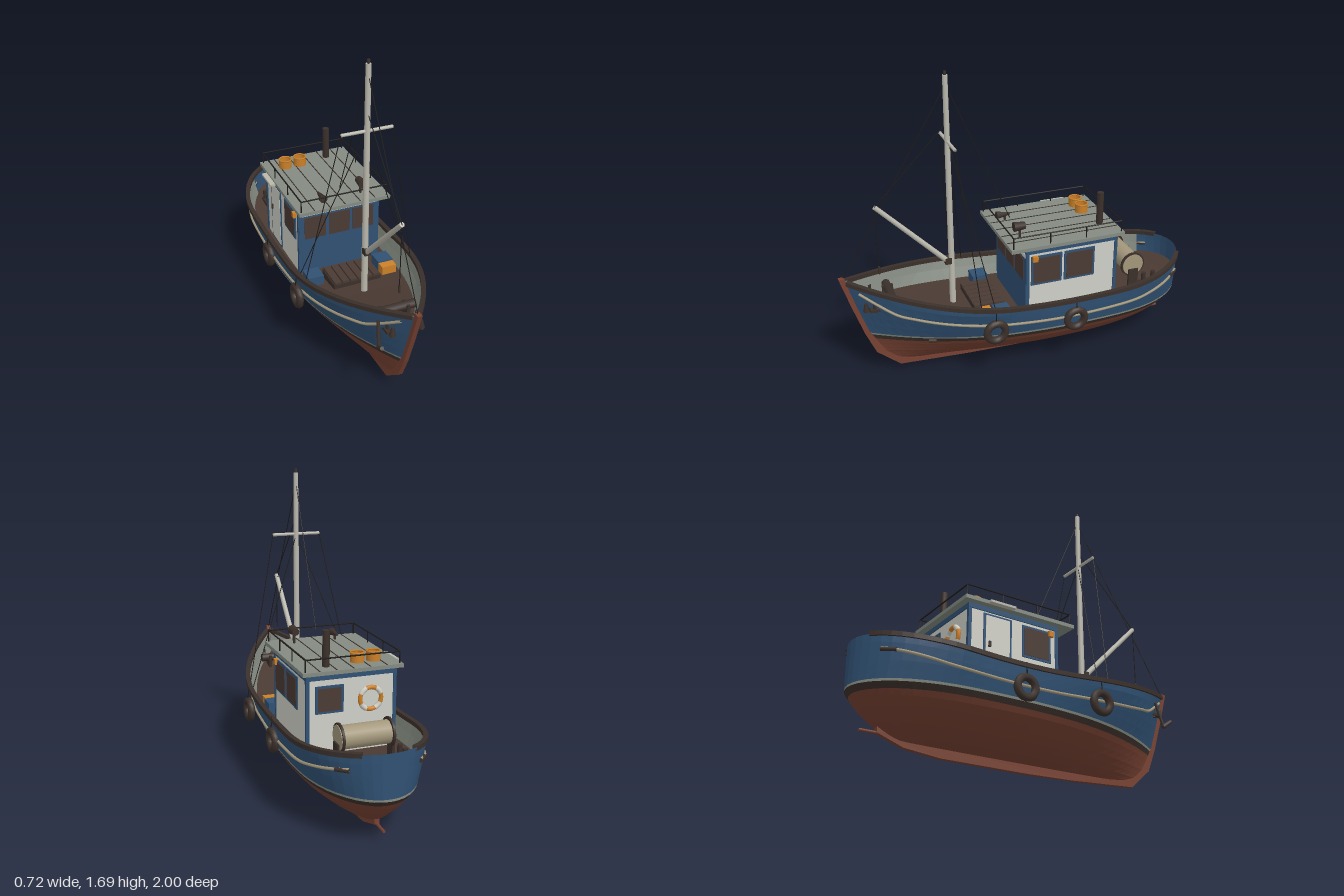
import * as THREE from 'three';

const mat = (name, color) => new THREE.MeshStandardMaterial({ name, color, side: THREE.DoubleSide });
const V = (x, y, z) => new THREE.Vector3(x, y, z);
const lerp = THREE.MathUtils.lerp;

// Piecewise linear lookup in [x, y] pairs
const table = (pts, x) => {
  if (x <= pts[0][0]) return pts[0][1];
  for (let i = 1; i < pts.length; i++) {
    const [a, p] = pts[i - 1], [b, q] = pts[i];
    if (x <= b) return lerp(p, q, (x - a) / (b - a));
  }
  return pts[pts.length - 1][1];
};

// Hull rules: s runs stern (0) to bow (1), y is height
const DECK_DROP = .12;
const bowZ = y => table([[.04, .68], [.08, .76], [.14, .81], [.28, .875], [.45, .933], [.62, .985]], y);
const sternZ = y => table([[.04, -.72], [.1, -.85], [.18, -.94], [.26, -1]], y);
const width = y => table([[.045, 0], [.05, .04], [.07, .11], [.1, .165], [.15, .225], [.2, .27], [.26, .305], [.35, .325], [.44, .335]], y);
const plan = (s, stern, bow, power) => s < stern ? Math.sqrt(Math.max(0, 1 - ((stern - s) / stern) ** 2))
  : s > bow ? 1 - ((s - bow) / (1 - bow)) ** power : 1;
const sheer = s => { const d = 2 * s - .8; return .435 + (d > 0 ? .122 : .1) * d * d; };
const strakeDrop = s => table([[.04, .072], [.2, .098], [.6, .106], [.8, .118], [.9, .118], [.97, .045]], s);
function hullPoint(s, y) {
  const flare = THREE.MathUtils.clamp((y - .05) / .4, 0, 1);
  const f = lerp(plan(s, .38, .45, 1.5), plan(s, .25, .58, 2.1), flare);
  return V(width(y) * f, y, lerp(sternZ(y), bowZ(y), s));
}
// Hull point pushed outward in plan by `off`
function offsetPoint(s, y, off) {
  const t = hullPoint(Math.min(1, s + .004), y).sub(hullPoint(Math.max(0, s - .004), y));
  const n = V(t.z, 0, -t.x).normalize();
  const p = hullPoint(s, y).addScaledVector(n, off);
  p.x = Math.max(0, p.x);
  return p;
}

// Faceted surface from a grid of points
function gridGeometry(nu, nv, fn) {
  const pos = [];
  for (let i = 0; i < nu; i++) for (let j = 0; j < nv; j++) {
    const a = fn(i / nu, j / nv), b = fn((i + 1) / nu, j / nv);
    const c = fn((i + 1) / nu, (j + 1) / nv), d = fn(i / nu, (j + 1) / nv);
    for (const p of [a, b, c, a, c, d]) pos.push(p.x, p.y, p.z);
  }
  const g = new THREE.BufferGeometry();
  g.setAttribute('position', new THREE.Float32BufferAttribute(pos, 3));
  g.computeVertexNormals();
  return g;
}

export function createModel() {
  const M = {
    blue: mat('hull blue', 0x305173), red: mat('antifouling red', 0x764132), wood: mat('dark wood', 0x4a3a33),
    iron: mat('dark iron', 0x3b302b), white: mat('cabin white', 0xd0d0c8), grey: mat('roof grey', 0x848b81),
    mast: mat('mast grey', 0xbab8ac), tan: mat('rope tan', 0xa3977b), orange: mat('safety orange', 0xca8029),
    black: mat('rigging black', 0x1e1b19),
  };
  const model = new THREE.Group();
  model.name = 'fishingBoat';
  const add = (name, geo, m, parent = model) => {
    const mesh = new THREE.Mesh(geo, m);
    mesh.name = name;
    parent.add(mesh);
    return mesh;
  };
  const box = (name, m, w, h, d, x, y, z, parent) => {
    const b = add(name, new THREE.BoxGeometry(w, h, d), m, parent);
    b.position.set(x, y, z);
    return b;
  };
  const rod = (name, m, a, b, r, r2 = r, sides = 10, open = false) => {
    const dir = b.clone().sub(a);
    const c = add(name, new THREE.CylinderGeometry(r2, r, dir.length(), sides, 1, open), m);
    c.position.copy(a).add(b).multiplyScalar(.5);
    c.quaternion.setFromUnitVectors(V(0, 1, 0), dir.normalize());
    return c;
  };
  const group = name => { const g = new THREE.Group(); g.name = name; model.add(g); return g; };

  // Hull skin in painted bands, bulwark lining, cap rail and strake
  const N = 32, ease = u => (1 - Math.cos(Math.PI * u)) / 2;
  const redRows = [.045, .05, .065, .085, .11, .14, .17, .205, .232];
  for (const side of [-1, 1]) {
    const flip = p => { p.x *= side; return p; };
    const skin = (name, m, nv, yAt) => add(name, gridGeometry(N, nv, (u, v) => flip(hullPoint(ease(u), yAt(ease(u), v)))), m);
    skin('lowerHull', M.red, 8, (s, v) => redRows[Math.round(v * 8)]);
    skin('bootTop', M.iron, 1, (s, v) => lerp(.232, .26, v));
    skin('waterline', M.grey, 1, (s, v) => lerp(.26, .272, v));
    skin('topsides', M.blue, 5, (s, v) => lerp(.272, sheer(s), v));
    add('bulwarkLining', gridGeometry(N, 2, (u, v) => {
      const s = lerp(.06, 1, ease(u));
      return flip(offsetPoint(s, sheer(s) - DECK_DROP * v, -.01 - .014 * v));
    }), M.grey);
    const corners = [[.011, -.012], [.011, .011], [-.014, .011], [-.014, -.012]];
    add('capRail', gridGeometry(N, 4, (u, v) => {
      const s = lerp(.02, .99, ease(u)), [o, h] = corners[Math.round(v * 4) % 4];
      const p = offsetPoint(s, sheer(s), o);
      p.y += h;
      return flip(p);
    }), M.iron);
    const line = [];
    for (let i = 0; i <= 24; i++) {
      const s = lerp(.04, .97, i / 24);
      line.push(flip(offsetPoint(s, sheer(s) - strakeDrop(s), .004)));
    }
    add('strake', new THREE.TubeGeometry(new THREE.CatmullRomCurve3(line), 60, .008, 6), M.tan);
    rod('strakeEnd', M.iron, flip(offsetPoint(.04, .408, .006)), flip(offsetPoint(.07, .402, .006)), .01);
    // Tyre fenders with hanging ropes
    for (const [z, y] of [[.24, .335], [-.225, .32]]) {
      const tyre = add('tyreFender', new THREE.TorusGeometry(.052, .021, 8, 20), M.iron);
      tyre.rotation.y = Math.PI / 2;
      tyre.position.set(side * .338, y, z);
      rod('fenderRope', M.black, V(side * .345, y + .05, z), V(side * .34, .45, z), .003, .003, 5);
    }
    // Bow and stern deck fittings
    box('bowBitt', M.iron, .04, .015, .06, side * .08, .455, .83);
    rod('bowBollard', M.iron, V(side * .08, .44, .83), V(side * .08, .52, .83), .012);
    rod('fairlead', M.iron, V(side * .08, .45, .878), V(side * .078, .5, .878), .018, .008, 6);
    box('sternBitt', M.iron, .035, .02, .1, side * .165, .355, -.76);
    for (const z of [-.79, -.73]) rod('sternBollard', M.iron, V(side * .165, .34, z), V(side * .165, .42, z), .013);
  }
  add('deck', gridGeometry(N, 2, (u, v) => {
    const s = ease(u), p = offsetPoint(s, sheer(s) - DECK_DROP, -.012);
    p.x *= 2 * v - 1;
    return p;
  }), M.wood);
  rod('seaInlet', M.iron, offsetPoint(.82, .245, .004), offsetPoint(.84, .245, .004), .012);

  // Stem and keel in one cut profile
  const profile = [[1, .63], [.945, .45], [.885, .27], [.83, .14], [.7, .03], [.3, .008], [0, 0], [-.5, 0], [-.7, .02],
    [-.84, .07], [-.84, .1], [-.7, .08], [.66, .08], [.79, .16], [.86, .28], [.918, .45], [.968, .63]];
  const keel = new THREE.ExtrudeGeometry(new THREE.Shape(profile.map(p => new THREE.Vector2(...p))), { depth: .026, bevelEnabled: false });
  keel.rotateY(-Math.PI / 2).translate(.013, 0, 0);
  add('stemAndKeel', keel, M.red);
  rod('propellerShaft', M.red, V(0, .072, -.8), V(0, .072, -.925), .008);

  // Wheelhouse walls, trim and windows
  const house = group('wheelhouse');
  box('walls', M.white, .48, .43, .53, 0, .525, -.235, house);
  box('topTrim', M.blue, .492, .026, .542, 0, .727, -.235, house);
  for (const x of [-.236, .236]) for (const z of [.026, -.496])
    box('cornerTrim', M.blue, .018, .42, .018, x, .525, z, house);
  box('frontPanel', M.blue, .48, .37, .008, 0, .505, .032, house);
  box('frontStripe', M.white, .46, .022, .006, 0, .7, .035, house);
  for (const x of [-.145, 0, .145]) box('frontWindow', M.wood, .126, .135, .008, x, .61, .036, house);
  const sideWindow = (side, z, w) => {
    box('windowFrame', M.blue, .008, .175, w + .025, side * .242, .61, z, house);
    box('sideWindow', M.wood, .008, .15, w, side * .245, .61, z, house);
  };
  sideWindow(1, -.083, .155);
  sideWindow(1, -.277, .155);
  sideWindow(-1, -.1, .15);
  box('doorFrame', M.blue, .006, .38, .165, -.242, .515, -.335, house);
  box('door', M.white, .008, .36, .14, -.243, .515, -.335, house);
  box('doorHandle', M.iron, .012, .03, .012, -.25, .54, -.385, house);
  box('rearWindowFrame', M.blue, .15, .145, .008, .12, .61, -.502, house);
  box('rearWindow', M.wood, .125, .12, .008, .12, .61, -.505, house);
  const ring = add('lifeRing', new THREE.TorusGeometry(.058, .012, 8, 24), M.orange, house);
  ring.position.set(-.1, .595, -.51);
  for (let i = 0; i < 4; i++) {
    const band = add('lifeRingBand', new THREE.TorusGeometry(.058, .0135, 8, 6, .7), M.white, house);
    band.position.copy(ring.position);
    band.rotation.z = i * Math.PI / 2 + .45;
  }
  for (const x of [-.25, .25]) box('sideLight', M.orange, .02, .03, .03, x, .685, -.015, house);

  // Roof with seams and railing
  box('roof', M.grey, .54, .02, .66, 0, .757, -.205);
  box('doorAwning', M.mast, .03, .012, .15, -.285, .752, -.335);
  for (const x of [-.18, -.09, 0, .09, .18]) box('roofSeam', M.iron, .005, .003, .65, x, .768, -.205);
  const railX = .253, zs = [.11, -.1, -.31, -.52];
  for (const x of [-railX, railX]) {
    rod('roofRail', M.black, V(x, .83, .11), V(x, .83, -.52), .004, .004, 6);
    for (const z of zs) rod('railPost', M.black, V(x, .76, z), V(x, .83, z), .0035, .0035, 6);
  }
  for (const z of [.11, -.52]) rod('roofRail', M.black, V(-railX, .83, z), V(railX, .83, z), .004, .004, 6);

  // Roof gear
  rod('exhaustPipe', M.iron, V(.12, .76, -.45), V(.12, .955, -.45), .019, .019, 12);
  for (const x of [-.15, -.06]) {
    rod('floatDrum', M.orange, V(x, .765, -.42), V(x, .815, -.42), .037, .037, 18, true);
    const rim = add('floatRim', new THREE.TorusGeometry(.035, .005, 6, 20), M.orange);
    rim.rotation.x = Math.PI / 2;
    rim.position.set(x, .816, -.42);
  }
  rod('searchlightStand', M.iron, V(.13, .76, .03), V(.13, .82, .03), .008);
  rod('searchlight', M.iron, V(.13, .835, 0), V(.13, .835, .065), .02, .027, 12);
  rod('hornStand', M.iron, V(-.11, .76, .03), V(-.11, .8, .03), .007);
  rod('horn', M.iron, V(-.11, .8, 0), V(-.11, .8, .08), .007, .022, 10);

  // Mast, crosstree, boom and hook
  rod('mast', M.mast, V(0, .34, .38), V(0, 1.67, .38), .018, .014, 12);
  rod('mastTip', M.iron, V(0, 1.66, .38), V(0, 1.69, .38), .008);
  rod('crosstree', M.mast, V(-.14, 1.32, .38), V(.14, 1.32, .38), .009);
  rod('boom', M.mast, V(0, .63, .405), V(0, 1.01, .78), .015, .013);
  box('boomHeel', M.iron, .034, .036, .035, 0, .63, .4);
  rod('hook', M.iron, V(0, .62, .78), V(0, .665, .78), .006);

  // Rigging
  const ropes = [
    [0, 1.61, .385, 0, .62, .98], [0, 1.61, .375, 0, .83, .04], [0, 1.41, .39, 0, 1.01, .78], [0, 1.01, .78, 0, .65, .78],
  ];
  for (const s of [-1, 1]) ropes.push([s * .14, 1.32, .38, s * .31, .47, .31], [0, 1.32, .375, s * .315, .46, .235]);
  for (const [a, b, c, d, e, f] of ropes) rod('rigging', M.black, V(a, b, c), V(d, e, f), .0025, .0025, 5);

  // Hatch and deck boxes
  box('hatch', M.iron, .28, .05, .17, 0, .355, .21);
  for (let i = 0; i < 6; i++) box('hatchSlat', M.wood, .038, .014, .17, -.115 + i * .046, .385, .21);
  for (const x of [-.21, .21]) box('fishCrate', M.blue, .09, .07, .09, x, .365, .165);
  box('orangeCrate', M.orange, .085, .06, .05, .205, .37, .245);

  // Anchor windlass and anchor
  rod('windlass', M.iron, V(-.12, .49, .73), V(.12, .49, .73), .024);
  for (const x of [-.07, .07]) box('windlassFrame', M.iron, .018, .1, .06, x, .455, .73);
  rod('anchorShank', M.iron, V(-.125, .51, .81), V(-.137, .37, .85), .009);
  rod('anchorFluke', M.iron, V(-.137, .37, .845), V(-.145, .41, .9), .013, .011, 6);

  // Net drum on its stand
  rod('netRoll', M.tan, V(-.127, .47, -.67), V(.127, .47, -.67), .06, .06, 20);
  for (const x of [-.132, .132]) {
    rod('drumFlange', M.iron, V(x - .006, .47, -.67), V(x + .006, .47, -.67), .074, .074, 20);
    box('drumLeg', M.iron, .014, .12, .06, x * 1.1, .385, -.67);
  }
  rod('drumEndPlate', M.tan, V(.136, .47, -.67), V(.142, .47, -.67), .064, .064, 20);
  return model;
}
